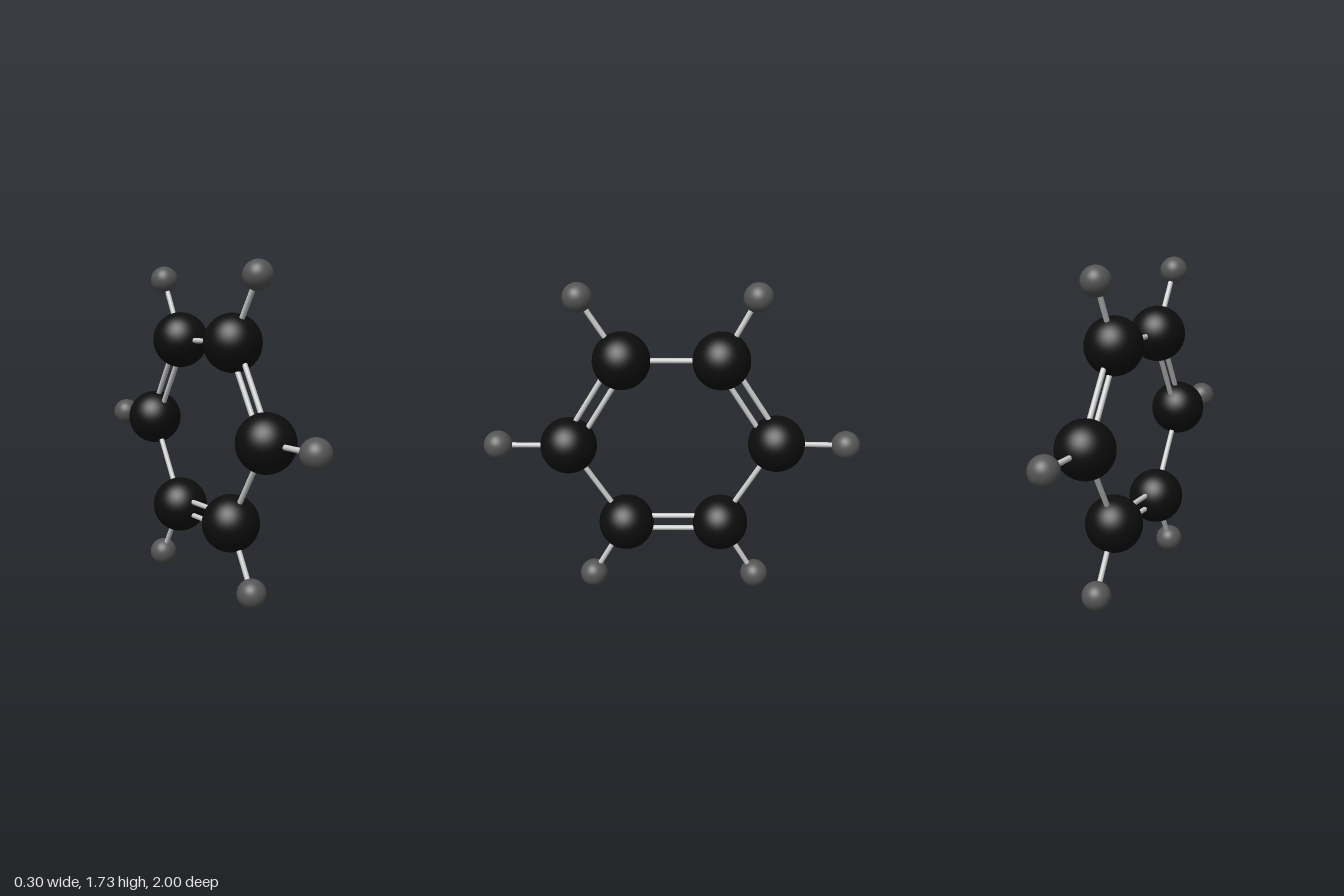
import * as THREE from 'three';

const UP = new THREE.Vector3(0, 1, 0);
const BOND_RADIUS = 0.014;
const DOUBLE_OFFSET = 0.037;

// atom centres as [z, y], going round the ring in the x = 0 plane
const RING = [[0.26, 1.325], [-0.255, 1.325], [-0.555, 0.868], [-0.265, 0.4], [0.25, 0.4], [0.55, 0.856]];
const OUTER = [[0.473, 1.652], [-0.432, 1.652], [-0.923, 0.86], [-0.463, 0.077], [0.44, 0.077], [0.925, 0.858]];

export function createModel() {
  const model = new THREE.Group();
  model.name = 'ringMolecule';

  const carbonMaterial = new THREE.MeshStandardMaterial({ color: 0x0d0d0d });
  const hydrogenMaterial = new THREE.MeshStandardMaterial({ color: 0x555555 });
  const bondMaterial = new THREE.MeshStandardMaterial({ color: 0xcccccc });
  const carbonGeometry = new THREE.SphereGeometry(0.15, 48, 32);
  const hydrogenGeometry = new THREE.SphereGeometry(0.076, 40, 24);

  const point = ([z, y]) => new THREE.Vector3(0, y, z);

  function addAtom(name, geometry, material, centre) {
    const atom = new THREE.Mesh(geometry, material);
    atom.name = name;
    atom.position.copy(centre);
    model.add(atom);
  }

  // rod between two centres, shifted sideways within the ring plane
  function addRod(name, a, b, shift = 0) {
    const along = b.clone().sub(a);
    const length = along.length();
    along.normalize();
    const side = new THREE.Vector3(1, 0, 0).cross(along);
    const rod = new THREE.Mesh(new THREE.CylinderGeometry(BOND_RADIUS, BOND_RADIUS, length, 20), bondMaterial);
    rod.name = name;
    rod.position.copy(a).add(b).multiplyScalar(0.5).addScaledVector(side, shift);
    rod.quaternion.setFromUnitVectors(UP, along);
    model.add(rod);
  }

  RING.forEach((p, i) => {
    const carbon = point(p);
    const next = point(RING[(i + 1) % RING.length]);
    const hydrogen = point(OUTER[i]);

    addAtom(`carbonAtom${i + 1}`, carbonGeometry, carbonMaterial, carbon);
    addAtom(`hydrogenAtom${i + 1}`, hydrogenGeometry, hydrogenMaterial, hydrogen);
    addRod(`outerBond${i + 1}`, carbon, hydrogen);

    // ring bonds alternate single and double
    if (i % 2 === 0) {
      addRod(`singleBond${i + 1}`, carbon, next);
    } else {
      addRod(`doubleBondInner${i + 1}`, carbon, next, DOUBLE_OFFSET);
      addRod(`doubleBondOuter${i + 1}`, carbon, next, -DOUBLE_OFFSET);
    }
  });

  return model;
}
